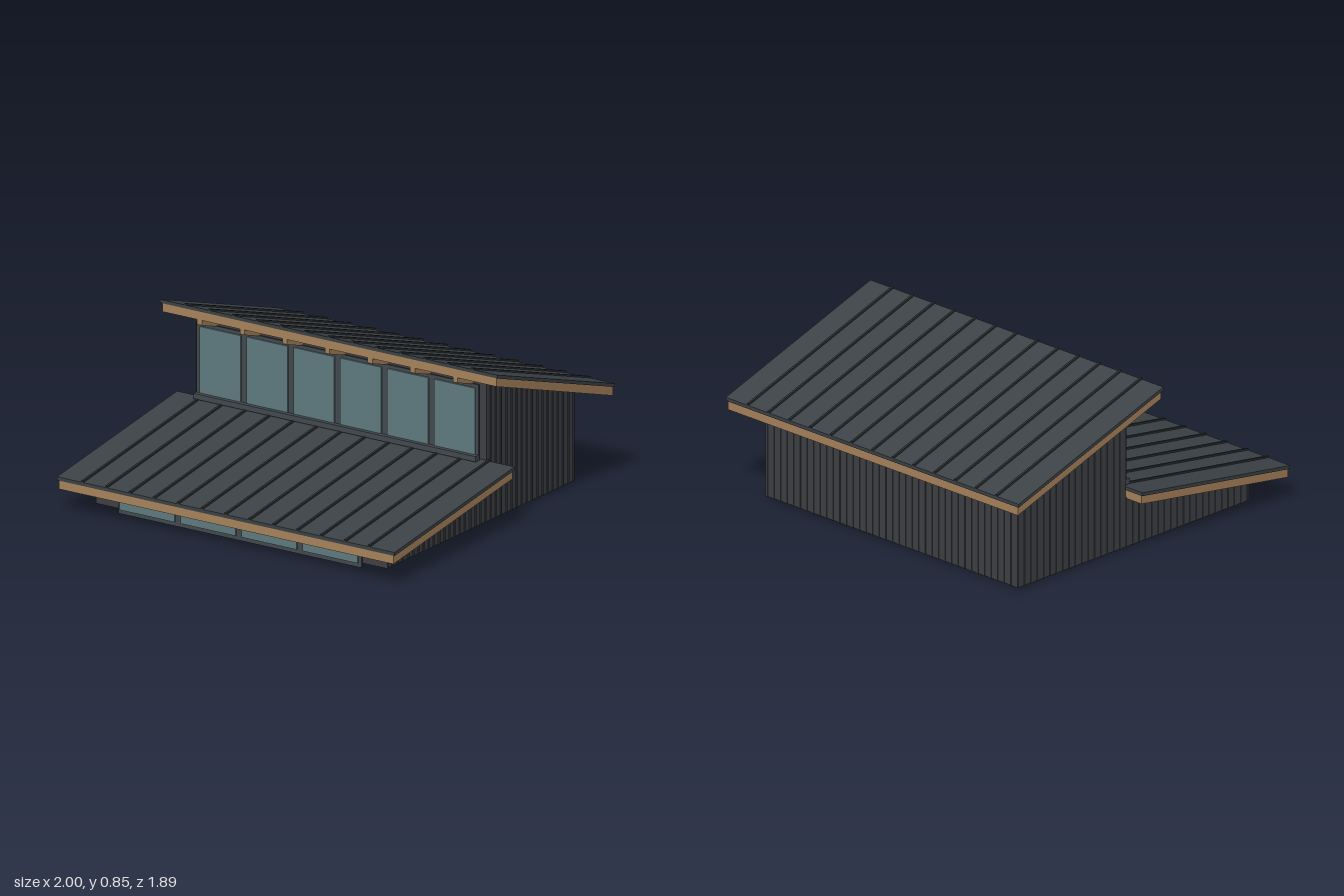
import * as THREE from 'three';

const mat = (name, color) => new THREE.MeshStandardMaterial({ name, color });

export function createModel() {
  const house = new THREE.Group();
  house.name = 'house';
  const wall = mat('charcoal cladding', 0x3e4045);
  const metal = mat('roof metal', 0x3c4246);
  const seamMetal = mat('dark seam', 0x2b2f32);
  const wood = mat('timber', 0xa9835c);
  const trim = mat('window trim', 0x43494e);
  const glass = mat('glass', 0x5f7b80);

  const add = (parent, name, geometry, material) => {
    const mesh = new THREE.Mesh(geometry, material);
    mesh.name = name;
    parent.add(mesh);
    return mesh;
  };
  const group = (name) => {
    const g = new THREE.Group();
    g.name = name;
    house.add(g);
    return g;
  };
  // Box given by its limits
  const box = (parent, name, material, x0, x1, y0, y1, z0, z1) => {
    const m = add(parent, name, new THREE.BoxGeometry(x1 - x0, y1 - y0, z1 - z0), material);
    m.position.set((x0 + x1) / 2, (y0 + y1) / 2, (z0 + z1) / 2);
  };
  // Side profile of [z, y] points stretched between x0 and x1
  const prism = (parent, name, material, points, x0, x1) => {
    const shape = new THREE.Shape(points.map(([z, y]) => new THREE.Vector2(z, y)));
    const g = new THREE.ExtrudeGeometry(shape, { depth: x1 - x0, bevelEnabled: false });
    g.rotateY(-Math.PI / 2).translate(x1, 0, 0);
    add(parent, name, g, material);
  };
  // Sloped layer between two ends [z, y], given by its underside and height
  const layer = (parent, name, material, [za, ya], [zb, yb], h, x0, x1) =>
    prism(parent, name, material, [[za, ya], [zb, yb], [zb, yb + h], [za, ya + h]], x0, x1);

  // Walls
  const X0 = -0.887, X1 = 0.832, FRONT = 0.77, STEP = -0.085, BACK = -0.835;
  const lowEave = (z) => 0.148 + (FRONT - z) * 0.149;
  const highEave = (z) => 0.743 + (z - STEP) * 0.326;
  const walls = group('walls');
  prism(walls, 'wallBody', wall, [
    [FRONT, 0.015], [FRONT, lowEave(FRONT)], [STEP, lowEave(STEP)],
    [STEP, highEave(STEP)], [BACK, highEave(BACK)], [BACK, 0.015],
  ], X0, X1);

  // Thin vertical battens on the back and both sides
  const P = 0.004, W = 0.006;
  for (let i = 0; i <= 38; i++) {
    const x = X0 + W + (i / 38) * (X1 - X0 - 2 * W);
    box(walls, 'backBatten', wall, x - W, x + W, 0.015, highEave(BACK), BACK - P, BACK);
  }
  for (let i = 0; i <= 36; i++) {
    const z = BACK + W + (i / 36) * (FRONT - BACK - 2 * W);
    const top = z < STEP ? highEave(z) : lowEave(z);
    box(walls, 'rightBatten', wall, X0 - P, X0, 0.015, top, z - W, z + W);
    box(walls, 'leftBatten', wall, X1, X1 + P, 0.015, top, z - W, z + W);
  }

  // Roofs: timber deck, metal sheet and standing seams
  const roof = (name, a, b, deck) => {
    const g = group(name);
    const up = ([z, y], d) => [z, y + d];
    const inset = 0.005 * Math.sign(a[0] - b[0]);
    const da = [a[0] - inset, a[1]], db = [b[0] + inset, b[1]];
    layer(g, 'timberDeck', wood, da, db, deck, -0.99, 0.99);
    layer(g, 'metalSheet', metal, up(a, deck), up(b, deck), 0.018, -1, 1);
    for (let i = -6; i <= 6; i++) {
      const x = i * 0.1415;
      layer(g, 'standingSeam', seamMetal, up(a, deck + 0.018), up(b, deck + 0.018), 0.009, x - 0.006, x + 0.006);
    }
    return g;
  };
  roof('lowerRoof', [0.945, 0.117], [-0.084, 0.268], 0.045);
  const upper = roof('upperRoof', [0.062, 0.782], [-0.945, 0.454], 0.045);

  // Rafter tails under the high front eave
  for (let i = 0; i < 7; i++) {
    const x = -0.77 + i * 0.2525;
    layer(upper, 'rafterTail', wood, [0.056, 0.756], [STEP, 0.71], 0.027, x - 0.014, x + 0.014);
  }

  // Clerestory window band
  const band = group('clerestory');
  box(band, 'bandFrame', trim, -0.87, 0.802, 0.335, 0.72, -0.07, -0.062);
  box(band, 'bandSill', trim, -0.87, 0.802, 0.33, 0.358, -0.07, -0.036);
  for (let i = 0; i < 6; i++) {
    const x = -0.724 + i * 0.2776;
    box(band, 'bandPane', glass, x - 0.121, x + 0.121, 0.36, 0.702, -0.062, -0.054);
  }

  // Low front window band
  const low = group('frontWindows');
  box(low, 'frontFrame', trim, -0.74, 0.7, 0, 0.112, 0.787, 0.795);
  for (let i = 0; i < 4; i++) {
    const x = -0.564 + i * 0.361;
    box(low, 'frontPane', glass, x - 0.163, x + 0.163, 0.022, 0.09, 0.795, 0.803);
  }

  return house;
}
